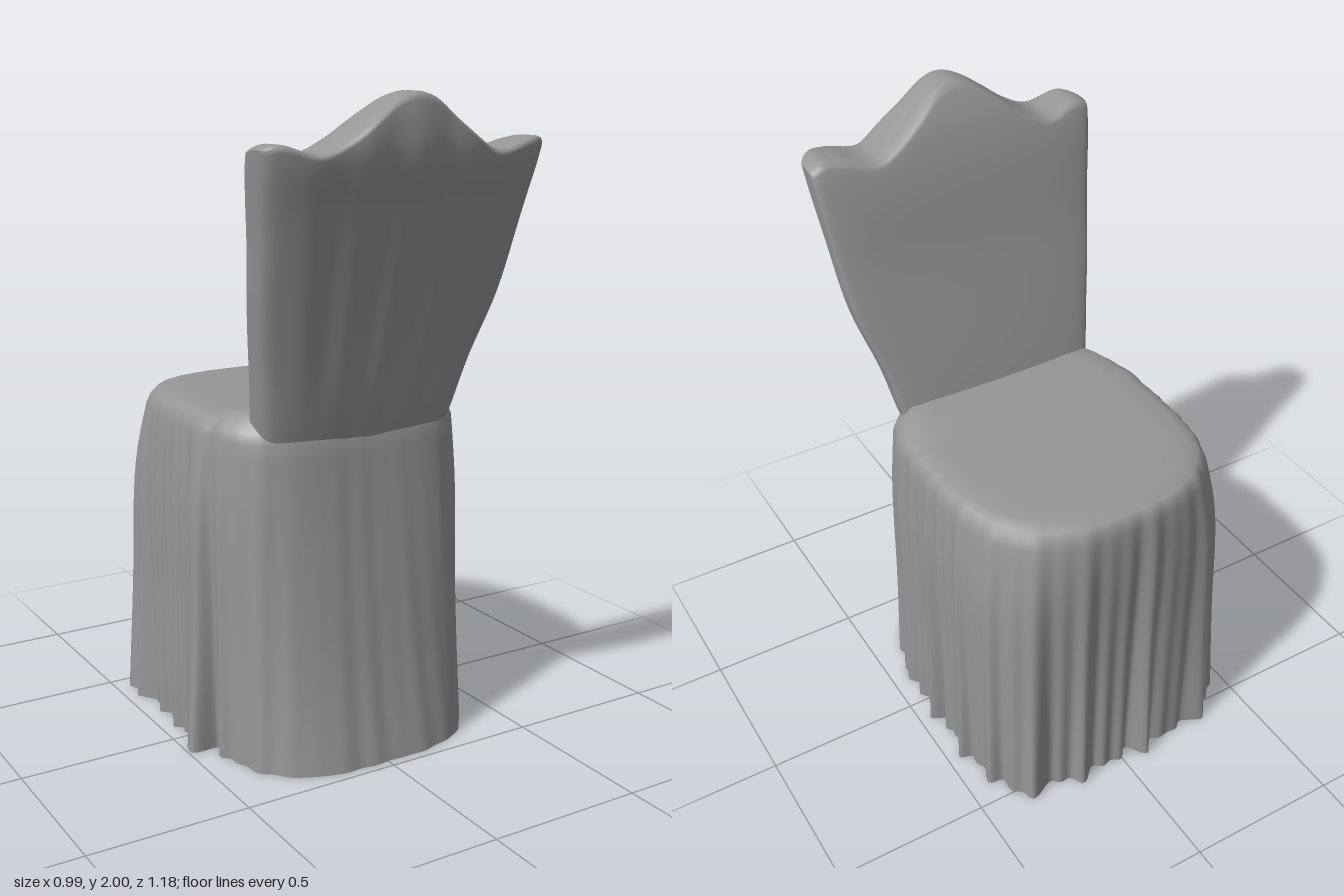
import * as THREE from 'three';

const material = new THREE.MeshStandardMaterial({ color: 0x969696, side: THREE.DoubleSide });

// Smooth curve through [position, value] pairs
function curve(pairs) {
  const c = new THREE.CubicInterpolant(pairs.map(p => p[0]), pairs.map(p => p[1]), 1);
  return t => c.evaluate(THREE.MathUtils.clamp(t, pairs[0][0], pairs[pairs.length - 1][0]))[0];
}

// Skin closed rings, ordered from top to bottom; point(row, angle) gives [x, y, z]
function skin(name, rows, segments, point) {
  const positions = [], index = [];
  rows.forEach((row, i) => {
    for (let j = 0; j < segments; j++) {
      positions.push(...point(row, (j / segments) * Math.PI * 2));
      if (i === 0) continue;
      const k = (j + 1) % segments;
      const a = (i - 1) * segments + j, b = (i - 1) * segments + k;
      const c = i * segments + j, d = i * segments + k;
      index.push(a, b, c, b, d, c);
    }
  });
  const geometry = new THREE.BufferGeometry();
  geometry.setAttribute('position', new THREE.Float32BufferAttribute(positions, 3));
  geometry.setIndex(index);
  geometry.computeVertexNormals();
  const mesh = new THREE.Mesh(geometry, material);
  mesh.name = name;
  return mesh;
}

// Irregular pleats around the skirt, calmer behind the backrest
function pleat(a) {
  const wave = 0.5 * Math.sin(25 * a + 1.6 * Math.sin(3 * a))
    + 0.4 * Math.sin(43 * a + 2 * Math.sin(2 * a))
    + 0.25 * Math.sin(14 * a + 1);
  const calm = 1 - 0.88 * THREE.MathUtils.smoothstep(Math.sin(a), 0.5, 0.85);
  const bump = (at, width) => Math.exp(-(((a - at) / width) ** 2));
  return wave * calm + 1.7 * bump(2.76, 0.07) + 0.5 * bump(2.92, 0.15) + 1.7 * bump(3.79, 0.09);
}

// Point on a rounded-square ring around a fixed centre, so that the pleats hang straight
function ringPoint({ y, front, back, half, fold, square = 2.7, squareBack = 3.8, scale = 1 }, a) {
  const centre = -0.1, c = Math.cos(a), s = Math.sin(a);
  const depth = s > 0 ? back - centre : centre - front;
  const n = s > 0 ? squareBack : square;
  const r = (Math.abs(c / half) ** n + Math.abs(s / depth) ** n) ** (-1 / n);
  const reach = r * scale + fold * pleat(a);
  return [reach * c, y, centre + reach * s];
}

// Seat cushion top, then the pleated skirt hanging from its rim
function coveredSeat() {
  const rows = [];
  for (const [scale, y] of [[0, 1.065], [0.3, 1.065], [0.6, 1.064], [0.85, 1.063], [1, 1.059]])
    rows.push({ y, front: -0.49, back: 0.3, half: 0.37, fold: 0, scale });
  rows.push({ y: 1.048, front: -0.535, back: 0.315, half: 0.402, fold: 0.002 });
  rows.push({ y: 1.03, front: -0.55, back: 0.328, half: 0.418, fold: 0.003 });
  const front = curve([[0, -0.558], [0.5, -0.557], [0.9, -0.562], [1, -0.557]]);
  const back = curve([[0, 0.472], [0.25, 0.428], [0.5, 0.395], [0.8, 0.36], [1, 0.341]]);
  const half = curve([[0, 0.43], [0.4, 0.432], [0.8, 0.438], [1, 0.426]]);
  const fold = curve([[0, 0.031], [0.4, 0.018], [0.8, 0.01], [1, 0.004]]);
  const square = curve([[0, 4.8], [0.5, 4.2], [0.8, 3.5], [1, 2.8]]);
  const squareBack = curve([[0, 3.3], [1, 3.8]]);
  for (let i = 0; i <= 20; i++) {
    const y = 1 - i / 20;
    rows.push({ y, front: front(y), back: back(y), half: half(y), fold: fold(y),
      square: square(y), squareBack: squareBack(y) });
  }
  return skin('seatAndSkirt', rows, 360, (row, a) => {
    const p = ringPoint(row, a);
    // The cushion rises a little towards the backrest
    if (row.y > 1.05) p[1] += 0.02 * THREE.MathUtils.smoothstep(p[2], 0.02, 0.2);
    return p;
  });
}

// Leaning backrest with a flat inner face, bowed outer face and wavy crest
function backrest() {
  const crest = curve([[-1, 1.85], [-0.9, 1.865], [-0.65, 1.84], [-0.45, 1.88], [-0.3, 1.93],
    [-0.12, 1.985], [0, 2], [0.12, 1.985], [0.3, 1.92], [0.45, 1.87], [0.58, 1.84],
    [0.82, 1.865], [0.92, 1.87], [1, 1.85]]);
  const inner = curve([[0.9, 0.17], [1.08, 0.205], [1.5, 0.31], [1.88, 0.403], [2, 0.465]]);
  const outer = curve([[0.9, 0.312], [1, 0.342], [1.25, 0.405], [1.5, 0.472],
    [1.7, 0.533], [1.78, 0.562], [1.85, 0.58], [2, 0.583]]);
  const right = curve([[0.9, 0.3], [1, 0.327], [1.2, 0.357], [1.4, 0.39], [1.6, 0.415],
    [1.85, 0.45], [2, 0.46]]);
  const left = curve([[0.9, 0.295], [1, 0.332], [1.2, 0.38], [1.4, 0.442], [1.6, 0.47],
    [1.85, 0.497], [2, 0.5]]);
  const bottom = 0.9;

  // Each row: height fraction and thickness fraction; the first rows close the crest
  const rows = [[1, 0], [1, 0.5], [0.997, 0.8], [0.99, 0.95], [0.978, 1]];
  for (let i = 1; i <= 24; i++) rows.push([0.978 * (1 - i / 24), 1]);

  return skin('backrest', rows, 160, ([v, thick], a) => {
    const u = Math.cos(a), s = Math.sin(a);
    const y = bottom + (crest(u) - bottom) * v;
    const depth = outer(y) - inner(y);
    const tip = inner(y) + 0.25 * depth;
    // Rounded edge, flat inside and bowed outside with faint folds
    let offset = s > 0 ? 0.75 * depth * s ** 0.48 : -0.25 * depth * Math.abs(s) ** 0.4;
    if (s > 0.3) offset += 0.005 * Math.sin(u * 17 + 1) * (s - 0.3) * THREE.MathUtils.smoothstep(y, 1, 1.3);
    const shift = 0.25 * depth * (1 - thick);
    return [u * (u < 0 ? right(y) : left(y)), y, tip + offset * thick + shift];
  });
}

export function createModel() {
  const group = new THREE.Group();
  group.name = 'coveredChair';
  group.add(coveredSeat(), backrest());
  return group;
}
